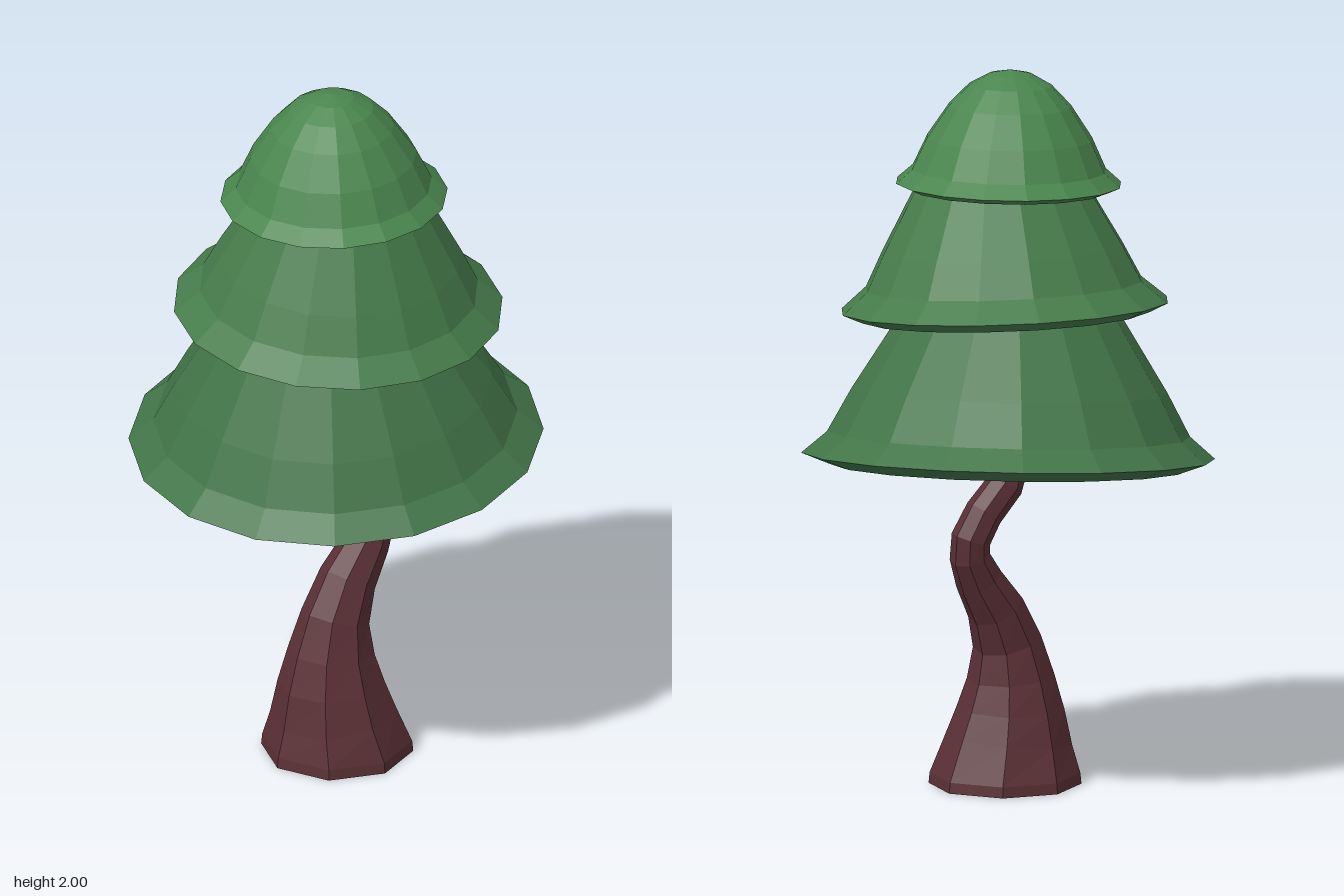
import * as THREE from 'three';

const rad = THREE.MathUtils.degToRad;

// One hollow foliage tier: inner cone, lip, flared rim, then the domed outside.
function tier(name, color, profile, phase, position, tiltX, tiltZ) {
  const points = profile.map(([r, y]) => new THREE.Vector2(r, y));
  const geometry = new THREE.LatheGeometry(points, 16, rad(phase));
  const material = new THREE.MeshStandardMaterial({ color, flatShading: true, side: THREE.DoubleSide });
  const mesh = new THREE.Mesh(geometry, material);
  mesh.name = name;
  mesh.position.set(...position);
  mesh.rotation.set(tiltX, 0, tiltZ);
  return mesh;
}

// Open tube of eight sides whose rings follow a bent path: [x, y, z, radius].
function trunk(rings, sides) {
  const centres = rings.map(([x, y, z]) => new THREE.Vector3(x, y, z));
  const up = new THREE.Vector3(0, 1, 0);
  const positions = [], index = [];
  rings.forEach(([, , , r], i) => {
    const along = i < 2 ? up : centres[Math.min(i + 1, rings.length - 1)].clone().sub(centres[i - 1]).normalize();
    const turn = new THREE.Quaternion().setFromUnitVectors(up, along);
    for (let j = 0; j < sides; j++) {
      const a = (j / sides) * Math.PI * 2;
      const p = new THREE.Vector3(Math.sin(a) * r, 0, Math.cos(a) * r).applyQuaternion(turn).add(centres[i]);
      positions.push(p.x, p.y, p.z);
      if (i > 0) {
        const k = (j + 1) % sides, low = (i - 1) * sides, high = i * sides;
        index.push(low + j, low + k, high + k, low + j, high + k, high + j);
      }
    }
  });
  const geometry = new THREE.BufferGeometry();
  geometry.setAttribute('position', new THREE.Float32BufferAttribute(positions, 3));
  geometry.setIndex(index);
  geometry.computeVertexNormals();
  const material = new THREE.MeshStandardMaterial({ color: 0x5a3035, flatShading: true, side: THREE.DoubleSide });
  const mesh = new THREE.Mesh(geometry, material);
  mesh.name = 'trunk';
  return mesh;
}

export function createModel() {
  const tree = new THREE.Group();
  tree.name = 'tree';

  // Crooked trunk, wide at the foot and running up inside the lowest tier
  tree.add(trunk([
    [0.01, 0, 0.06, 0.21],
    [0.01, 0.03, 0.06, 0.207],
    [0.0, 0.12, 0.07, 0.175],
    [-0.005, 0.21, 0.073, 0.148],
    [-0.005, 0.3, 0.07, 0.12],
    [0.005, 0.4, 0.058, 0.095],
    [0.035, 0.5, 0.02, 0.08],
    [0.08, 0.59, -0.025, 0.066],
    [0.103, 0.66, -0.062, 0.056],
    [0.1, 0.71, -0.068, 0.055],
    [0.065, 0.78, -0.052, 0.053],
    [0.01, 0.85, -0.02, 0.052],
    [-0.02, 0.95, 0.015, 0.05],
    [-0.02, 1.25, 0.03, 0.045],
  ], 8));

  // Three tilted tiers of foliage
  tree.add(tier('lowerFoliage', 0x427548, [
    [0, 0.36], [0.49, -0.03], [0.57, 0], [0.5, 0.06], [0.435, 0.18],
    [0.31, 0.38], [0.2, 0.52], [0.09, 0.6], [0, 0.63],
  ], 6, [0, 0.93, 0], 0.12, 0.018));
  tree.add(tier('middleFoliage', 0x467c4b, [
    [0, 0.3], [0.4, -0.025], [0.455, 0], [0.385, 0.06], [0.335, 0.16],
    [0.235, 0.34], [0.15, 0.43], [0.07, 0.475], [0, 0.49],
  ], 14, [0.01, 1.343, 0.035], 0.084, -0.039));
  tree.add(tier('upperFoliage', 0x4a864e, [
    [0, 0.2], [0.28, -0.015], [0.313, 0], [0.27, 0.038], [0.23, 0.125],
    [0.17, 0.215], [0.115, 0.272], [0.06, 0.303], [0, 0.315],
  ], 11.25, [0, 1.685, 0.05], 0.04, 0.016));

  return tree;
}
